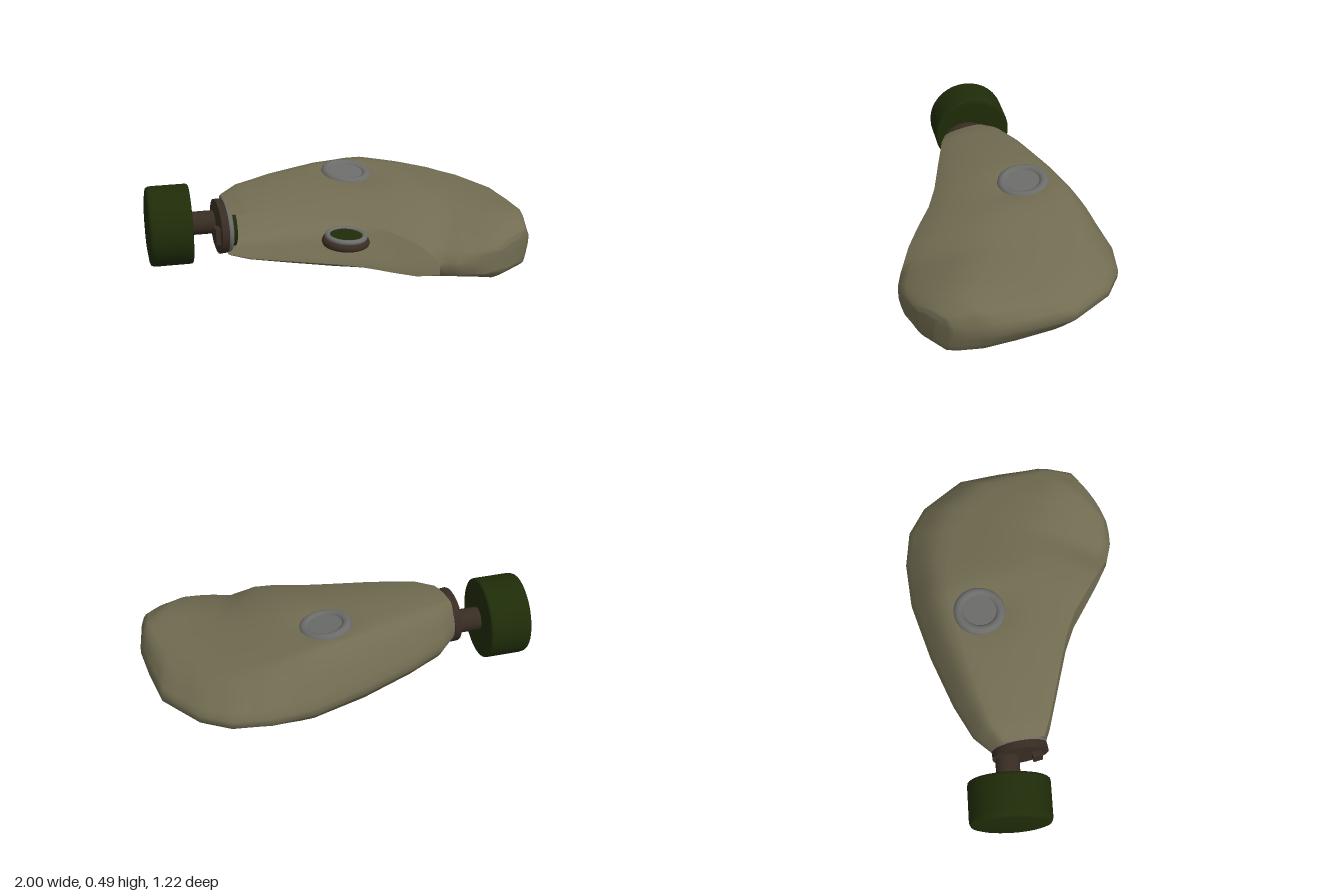
import * as THREE from 'three';

const mat = (name, color, side = THREE.FrontSide) => {
  const m = new THREE.MeshStandardMaterial({ color, side });
  m.name = name;
  return m;
};

export function createModel() {
  const model = new THREE.Group();
  const hide = mat('olive hide', 0x716c51, THREE.DoubleSide);
  const green = mat('dark green', 0x1f2c09);
  const grey = mat('grey metal', 0x6c6c6a, THREE.DoubleSide);
  const brown = mat('dark brown', 0x382d23);

  const add = (parent, name, geometry, material, x = 0, y = 0, z = 0) => {
    const m = new THREE.Mesh(geometry, material);
    m.name = name;
    m.position.set(x, y, z);
    parent.add(m);
    return m;
  };

  // Body sections from neck to tip:
  // front x, z | back x, z | front rim top, bottom | crown, belly
  const key = [
    [-0.59, -0.115, -0.56, -0.39, 0.375, 0.145, 0.41, 0.12],
    [-0.50, -0.055, -0.45, -0.46, 0.395, 0.13, 0.437, 0.09],
    [-0.30, 0.055, -0.25, -0.51, 0.39, 0.12, 0.46, 0.06],
    [-0.10, 0.165, 0.05, -0.55, 0.375, 0.11, 0.474, 0.028],
    [0.02, 0.25, 0.37, -0.565, 0.355, 0.105, 0.47, 0.02],
    [0.13, 0.36, 0.60, -0.53, 0.325, 0.10, 0.46, 0.012],
    [0.22, 0.45, 0.78, -0.46, 0.285, 0.10, 0.44, 0.01],
    [0.31, 0.535, 0.90, -0.34, 0.20, 0.125, 0.41, 0.01],
    [0.40, 0.585, 1.00, -0.10, 0.20, 0.13, 0.385, 0.02],
    [0.47, 0.60, 0.98, 0.12, 0.21, 0.13, 0.36, 0.025],
    [0.53, 0.605, 0.95, 0.31, 0.22, 0.12, 0.335, 0.04],
    [0.60, 0.598, 0.87, 0.49, 0.22, 0.12, 0.28, 0.08],
    [0.66, 0.587, 0.78, 0.545, 0.22, 0.12, 0.235, 0.11],
  ];
  const steps = 3; // in-between sections
  const sections = [];
  for (let i = 0; i <= (key.length - 1) * steps; i++) {
    const k = Math.min(Math.floor(i / steps), key.length - 2), t = i / steps - k;
    sections.push(key[k].map((v, c) => v + (key[k + 1][c] - v) * t));
  }
  const across = [0, 0.05, 0.12, 0.2, 0.28, 0.36, 0.44, 0.52, 0.6, 0.68, 0.76, 0.82, 0.88, 0.93, 0.97, 1];
  const openUntil = 7 * steps; // the front seam stays open up to this section
  const n = across.length * 2;
  const pos = [], index = [];
  const rise = u => Math.sin(Math.min(1, u) * Math.PI / 2);

  sections.forEach(([fx, fz, bx, bz, rimTop, rimBottom, crown, belly], i) => {
    const k = i / steps;
    const backY = 0.26 - 0.05 * Math.min(1, k / 4);
    const peak = 0.66, plateau = 0.26 - 0.012 * k;
    const point = (s, rim, top, backEdge) => {
      const x = fx + (bx - fx) * s, z = fz + (bz - fz) * s;
      const front = s < peak;
      const frontRise = top ? rise(s / peak) ** 0.72 : rise(s / 0.3);
      const g = front ? frontRise : rise((1 - s) / (top ? plateau : plateau * 1.25));
      // thins out towards the far side, with a soft dimple under the eyelet
      const out = x - 0.35;
      const dimple = 0.034 * Math.exp(-((x - 0.16) ** 2 + (z + 0.2) ** 2) / 0.02);
      const extreme = top
        ? Math.min(crown, 0.45 - 0.24 * out) - dimple
        : Math.max(belly, 0.015 + 0.115 * out);
      const edge = front ? rim : backEdge;
      pos.push(x, edge + (extreme - edge) * g, z);
    };
    across.forEach(s => point(s, rimTop, true, backY + 0.02));
    [...across].reverse().forEach(s => point(s, rimBottom, false, backY - 0.02));
  });
  for (let i = 0; i < sections.length - 1; i++) {
    const last = i >= openUntil ? n : n - 1;
    for (let j = 0; j < last; j++) {
      const a = i * n + j, b = i * n + (j + 1) % n;
      index.push(a, a + n, b, b, a + n, b + n);
    }
  }
  // close the tip
  const tip = (sections.length - 1) * n;
  for (let j = 0; j < across.length - 1; j++) {
    const a = tip + j, c = tip + n - 1 - j;
    index.push(a, c, a + 1, a + 1, c, c - 1);
  }
  const skin = new THREE.BufferGeometry();
  skin.setAttribute('position', new THREE.Float32BufferAttribute(pos, 3));
  skin.setIndex(index);
  skin.computeVertexNormals();
  add(model, 'bag body', skin, hide);

  // Groups whose local y axis runs along the neck towards the body
  const alongNeck = (name, x, y, z, turn) => {
    const g = new THREE.Group();
    g.name = name;
    g.position.set(x, y, z);
    g.rotation.set(0, turn, -Math.PI / 2, 'YXZ');
    model.add(g);
    return g;
  };

  // Stopper with a slightly domed end, and its stem
  const stopper = alongNeck('stopper', -0.845, 0.26, -0.38, -0.24);
  const profile = [[0, -0.125], [0.12, -0.122], [0.19, -0.114], [0.208, -0.108], [0.214, -0.096],
    [0.216, -0.08], [0.216, 0.1], [0.214, 0.112], [0.207, 0.117], [0.19, 0.118], [0, 0.118]];
  add(stopper, 'stopper cap', new THREE.LatheGeometry(
    profile.map(([r, y]) => new THREE.Vector2(r, y)), 36), green);
  add(stopper, 'stopper stem', new THREE.CylinderGeometry(0.063, 0.063, 0.16, 20), brown, 0, 0.185, 0);

  // Collar closing the neck, with its inner ring and plug
  const collar = alongNeck('collar', -0.6, 0.262, -0.25, -0.12);
  add(collar, 'collar band', new THREE.CylinderGeometry(0.146, 0.148, 0.04, 28), brown);
  const neckRing = add(collar, 'neck ring', new THREE.TorusGeometry(0.128, 0.018, 8, 28), grey, 0, 0.03, 0);
  neckRing.rotation.x = Math.PI / 2;
  add(collar, 'neck plug', new THREE.CylinderGeometry(0.115, 0.12, 0.06, 24), green, 0, 0.04, 0);
  add(model, 'collar latch', new THREE.BoxGeometry(0.05, 0.09, 0.05), brown, -0.635, 0.245, -0.17);

  // Round eyelets on the crown and belly
  const eyelet = (name, y, tiltX, tiltZ) => {
    const g = new THREE.Group();
    g.name = name;
    g.position.set(0.14, y, -0.24);
    g.rotation.set(tiltX, 0, tiltZ);
    model.add(g);
    return g;
  };
  const ring = (parent, name, radius, tube, material, y) => {
    const m = add(parent, name, new THREE.TorusGeometry(radius, tube, 10, 32), material, 0, y, 0);
    m.rotation.x = Math.PI / 2;
  };
  const plate = (parent, name, material, y) =>
    add(parent, name, new THREE.CylinderGeometry(0.1, 0.1, 0.008, 32), material, 0, y, 0);

  const top = eyelet('top eyelet', 0.444, 0.12, -0.08);
  ring(top, 'top eyelet ring', 0.111, 0.028, grey, 0);
  plate(top, 'top eyelet plate', grey, 0.012);

  const bottom = eyelet('bottom eyelet', 0.034, 0, -0.07);
  ring(bottom, 'bottom eyelet ring', 0.111, 0.025, brown, 0);
  plate(bottom, 'bottom eyelet plate', grey, -0.015);
  ring(bottom, 'inner eyelet ring', 0.105, 0.016, grey, 0.032);
  plate(bottom, 'inner eyelet plate', green, 0.034);

  return model;
}
